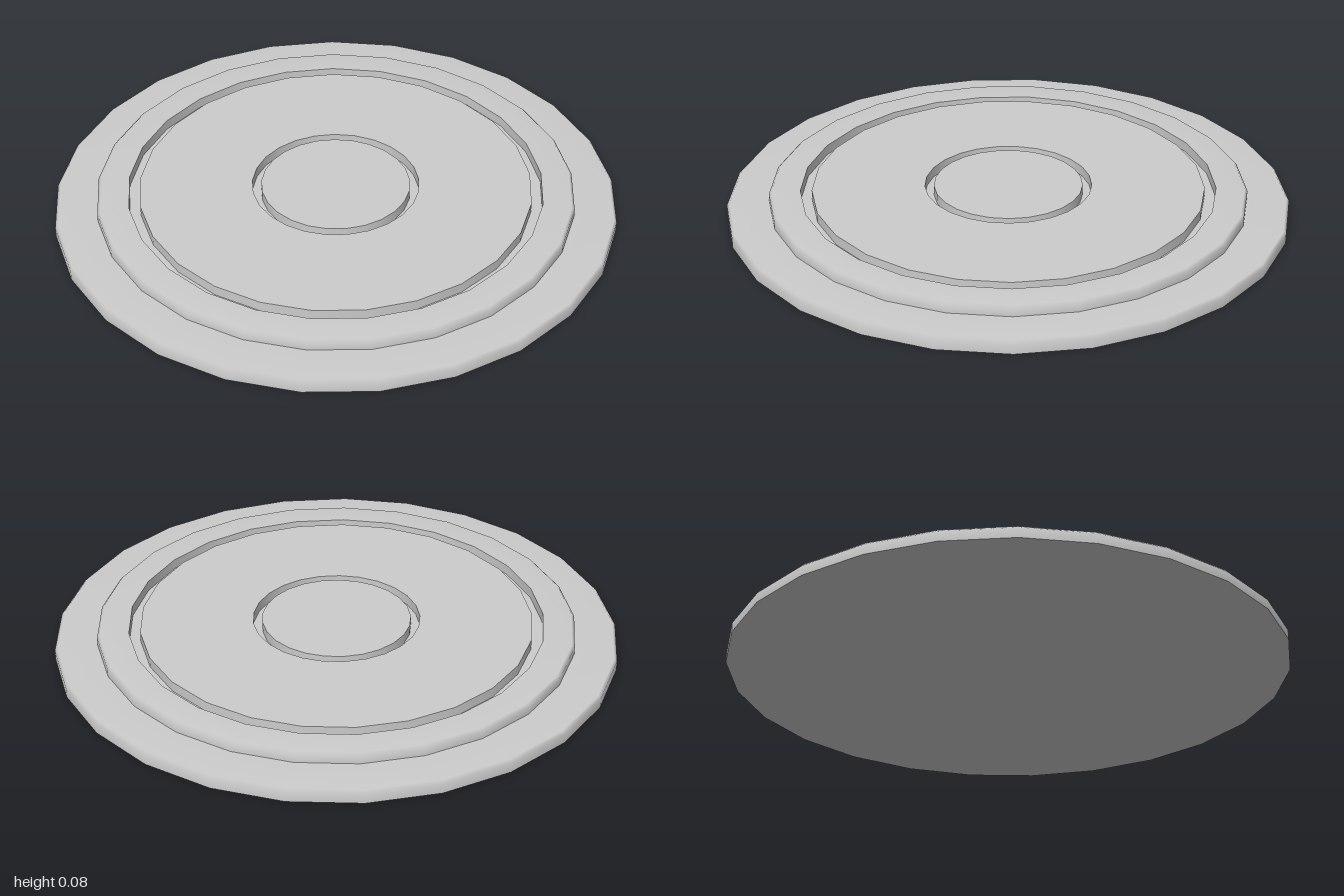
import * as THREE from 'three';

const SIDES = 25;
const BASE = 0.045; // top of the lower plate
const TOP = 0.082; // top of the raised parts
const material = new THREE.MeshStandardMaterial({ color: 0xcccccc });

// Revolves each run of [radius, y] points; normals are smooth within a run, sharp between runs.
function turned(name, ...runs) {
  const part = new THREE.Group();
  part.name = name;
  for (const run of runs) {
    const points = run.map(([r, y]) => new THREE.Vector2(r, y));
    const mesh = new THREE.Mesh(new THREE.LatheGeometry(points, SIDES, Math.PI / 2), material);
    mesh.name = name + 'Surface';
    part.add(mesh);
  }
  return part;
}

export function createModel() {
  const group = new THREE.Group();
  group.name = 'steppedDisc';

  // Wide lower plate with a softened upper rim
  group.add(turned('basePlate',
    [[0, 0], [1.002, 0]],
    [[1.002, 0], [1.002, 0.035], [0.992, BASE], [0.85, BASE]]));

  // Raised outer ring
  group.add(turned('outerRing',
    [[0.852, BASE], [0.852, TOP - 0.01], [0.842, TOP], [0.74, TOP]],
    [[0.74, TOP], [0.74, BASE]]));

  // Raised middle ring between the two grooves
  group.add(turned('middleRing',
    [[0.7, BASE], [0.7, TOP]],
    [[0.7, TOP], [0.298, TOP]],
    [[0.298, TOP], [0.298, BASE]]));

  // Raised centre disc
  group.add(turned('centreDisc',
    [[0.266, BASE], [0.266, TOP]],
    [[0.266, TOP], [0, TOP]]));

  // Groove floors
  for (const [outer, inner] of [[0.74, 0.7], [0.298, 0.266]]) {
    group.add(turned('grooveFloor', [[outer, BASE], [inner, BASE]]));
  }

  // An odd number of sides is slightly off centre along x
  for (const part of group.children) part.position.x = -0.004;
  return group;
}
